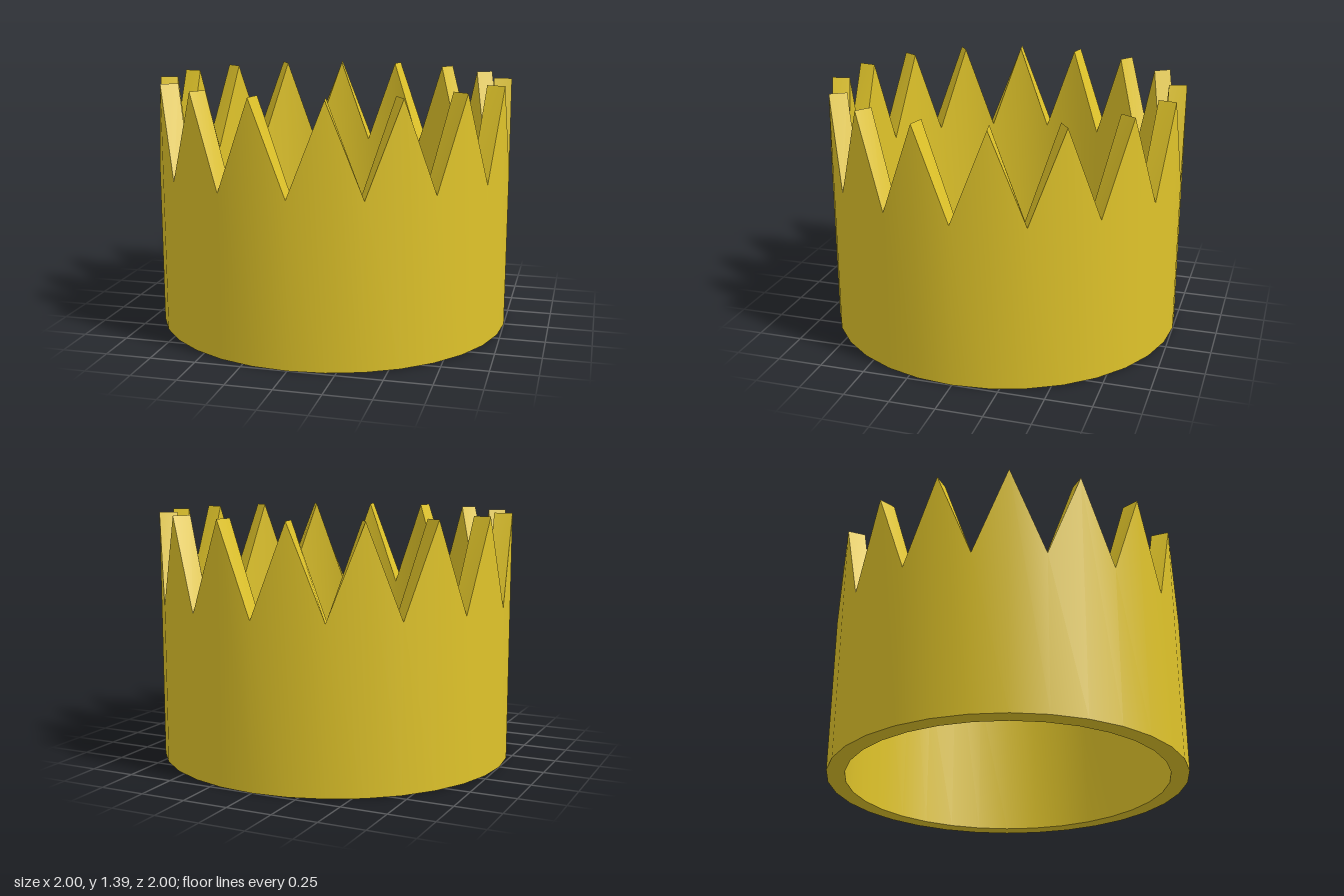
import * as THREE from 'three';
import { toCreasedNormals } from 'three/addons/utils/BufferGeometryUtils.js';

const SIDES = 32;
const OUTER = 1, INNER = 0.9;
const TIP = 1.39, NOTCH = 0.89;

export function createModel() {
  const group = new THREE.Group();
  group.name = 'crown';

  // Closed rectangular section turned into a thick ring
  const section = [[INNER, 0], [OUTER, 0], [OUTER, TIP], [INNER, TIP], [INNER, 0]]
    .map(([r, y]) => new THREE.Vector2(r, y));
  const ring = new THREE.LatheGeometry(section, SIDES);

  // Lower every second column of the top rim to cut the points
  const pos = ring.attributes.position;
  for (let i = 0; i <= SIDES; i += 2) {
    for (const j of [2, 3]) pos.setY(i * section.length + j, NOTCH);
  }

  // Smooth round the walls, sharp along the rims
  const band = new THREE.Mesh(
    toCreasedNormals(ring, 0.4),
    new THREE.MeshStandardMaterial({ color: 0xe0c42a })
  );
  band.name = 'pointedBand';
  group.add(band);
  return group;
}
